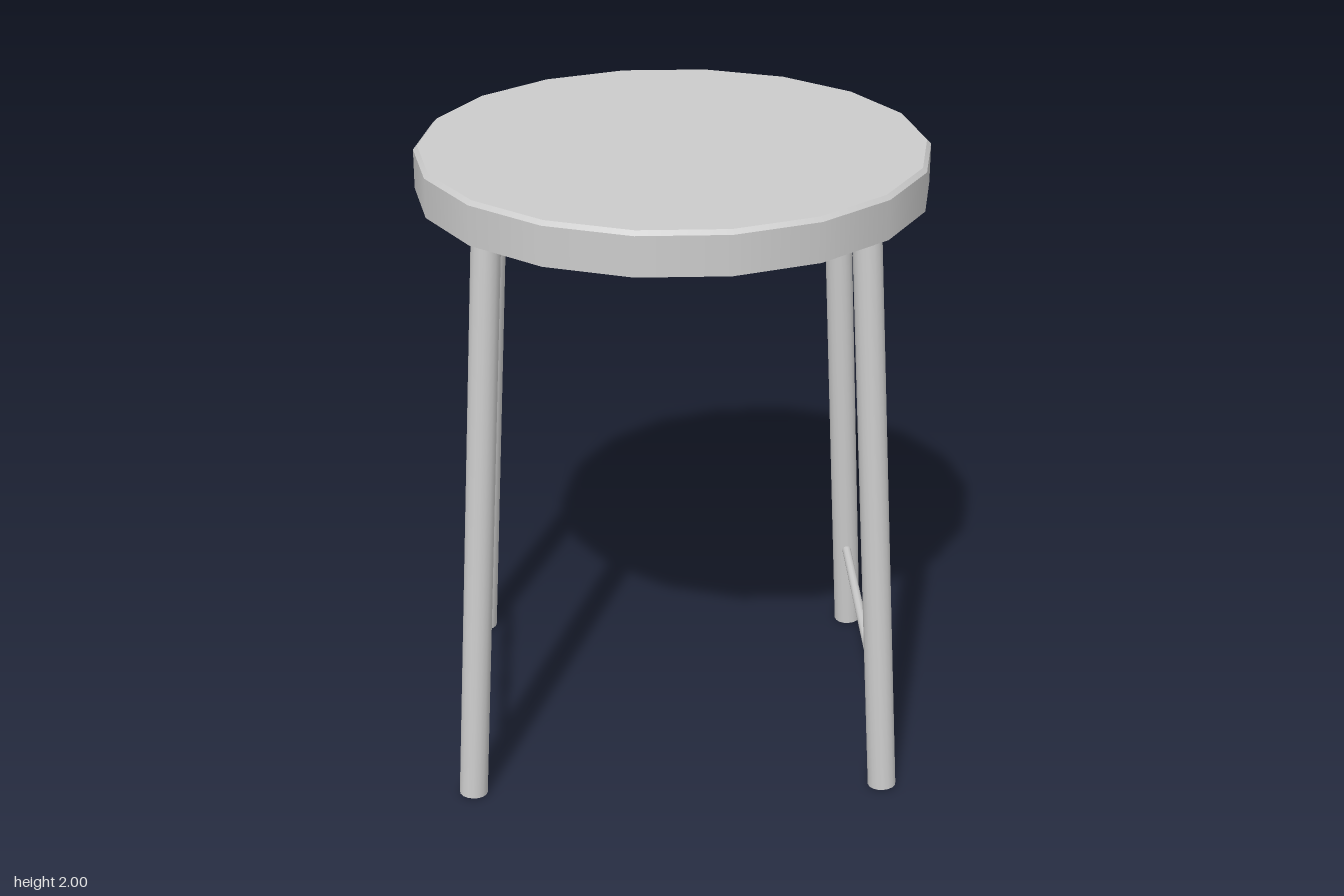
import * as THREE from 'three';

const material = new THREE.MeshStandardMaterial({ color: 0xcccccc, side: THREE.DoubleSide });

// Open tube between two points
function rod(name, from, to, radius, sides) {
  const dir = to.clone().sub(from);
  const geometry = new THREE.CylinderGeometry(radius, radius, dir.length(), sides, 1, true);
  const mesh = new THREE.Mesh(geometry, material);
  mesh.name = name;
  mesh.position.copy(from).add(to).multiplyScalar(0.5);
  mesh.quaternion.setFromUnitVectors(new THREE.Vector3(0, 1, 0), dir.normalize());
  return mesh;
}

export function createModel() {
  const model = new THREE.Group();
  model.name = 'stool';

  // Seat: an 18-sided shell, hollow underneath, with a small bevel at the top
  const sides = 18, radius = 0.805, bevel = 0.013, bottom = 1.862, top = 2;
  const seat = new THREE.Group();
  seat.name = 'seat';
  const ring = (name, r0, y0, r1, y1) => {
    const geometry = new THREE.CylinderGeometry(r1, r0, y1 - y0, sides, 1, true, Math.PI / 2);
    const mesh = new THREE.Mesh(geometry, material);
    mesh.name = name;
    mesh.position.y = (y0 + y1) / 2;
    seat.add(mesh);
  };
  ring('seatRim', radius, bottom, radius, top - bevel);
  ring('seatBevel', radius, top - bevel, radius - bevel, top);
  const panel = new THREE.Mesh(new THREE.CircleGeometry(radius - bevel, sides), material);
  panel.name = 'seatTop';
  panel.rotation.x = -Math.PI / 2;
  panel.position.y = top;
  seat.add(panel);
  model.add(seat);

  // Splayed legs, ending level with the lower edge of the rim
  const foot = (sx, sz) => new THREE.Vector3(sx * 0.66 - 0.004, 0.004, sz * 0.554 + 0.008);
  const head = (sx, sz) => new THREE.Vector3(sx * 0.563 - 0.006, 1.868, sz * 0.472 + 0.01);
  for (const sx of [1, -1]) {
    const side = sx > 0 ? 'Left' : 'Right';
    for (const sz of [1, -1]) {
      const name = (sz > 0 ? 'front' : 'back') + side + 'Leg';
      model.add(rod(name, foot(sx, sz), head(sx, sz), 0.045, 16));
    }
    // Thin stretcher joining the front and back legs
    const at = (sz) => foot(sx, sz).lerp(head(sx, sz), 0.163);
    model.add(rod('stretcher' + side, at(1), at(-1), 0.015, 10));
  }
  return model;
}
